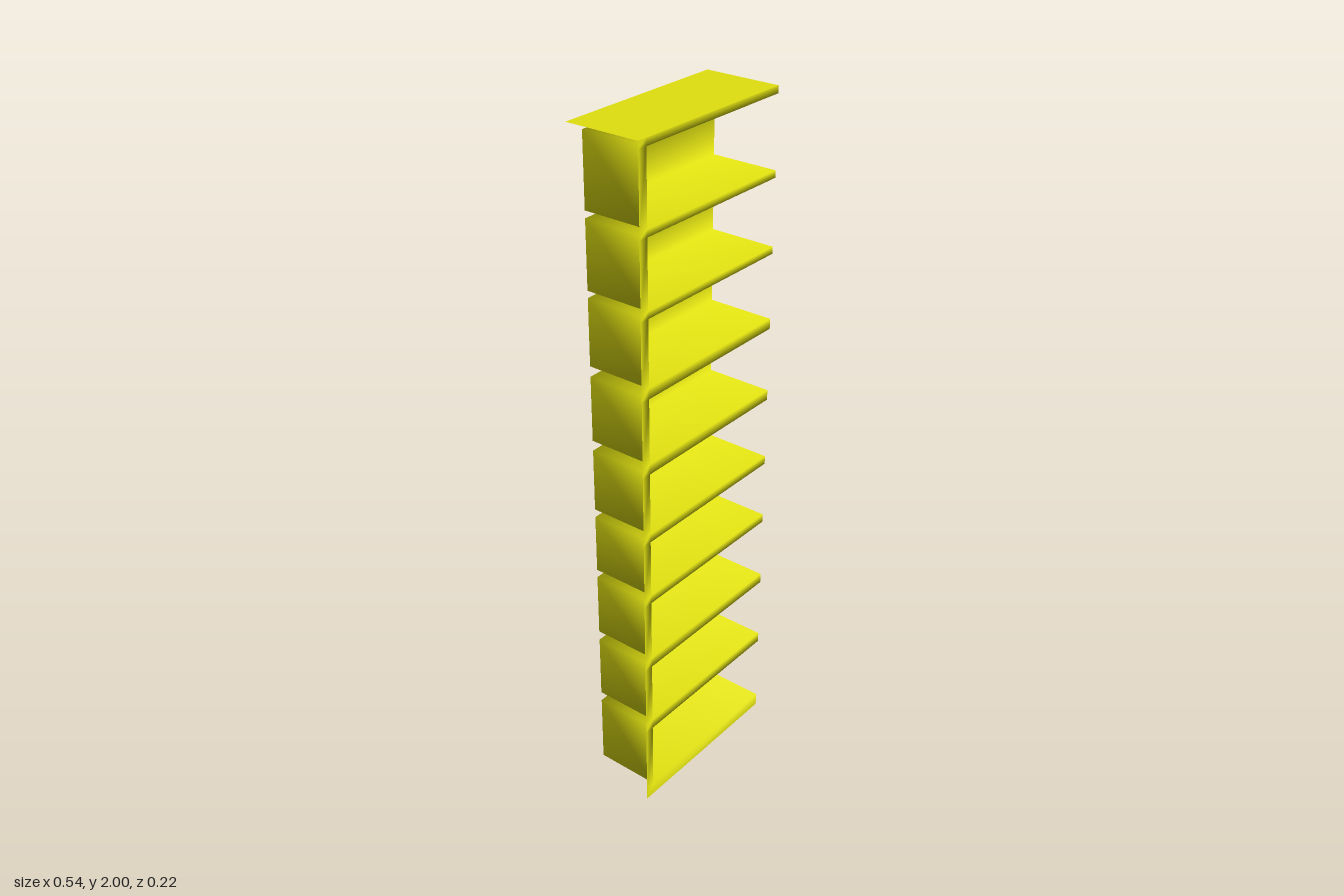
import * as THREE from 'three';

// Floor and ceiling heights of the nine open bays, bottom to top
const BAYS = [
  [0.04, 0.255], [0.285, 0.48], [0.51, 0.70], [0.725, 0.90], [0.925, 1.11],
  [1.14, 1.33], [1.36, 1.55], [1.57, 1.76], [1.78, 1.98],
];
const HEIGHTS = [0, ...BAYS.flat(), 2];

// Plan corners: outer front left, inner front left, front right,
// inner back right, outer back right, inner back left
const PLAN = [
  [-0.272, 0.107], [-0.243, 0.107], [0.271, 0.111],
  [0.271, -0.087], [0.271, -0.112], [-0.243, -0.087],
];
const [E, A, D, C, F, B] = [0, 1, 2, 3, 4, 5];

function shellGeometry() {
  const positions = [];
  const index = [];
  for (const y of HEIGHTS) for (const [x, z] of PLAN) positions.push(x, y, z);

  const at = (level, corner) => level * PLAN.length + corner;
  const quad = (a, b, c, d) => index.push(a, b, c, a, c, d);
  const wall = (k, p, q) => quad(at(k, p), at(k, q), at(k + 1, q), at(k + 1, p));

  for (let k = 0; k < HEIGHTS.length - 1; k++) {
    // upright edges of the side and back panels
    wall(k, E, A);
    wall(k, C, F);
    if (k % 2 === 0) {
      // shelf edge, front and open end
      wall(k, A, D);
      wall(k, D, C);
    } else {
      // bay lining: side, back, shelf top and underside of the shelf above
      wall(k, A, B);
      wall(k, B, C);
      quad(at(k, A), at(k, D), at(k, C), at(k, B));
      quad(at(k + 1, A), at(k + 1, B), at(k + 1, C), at(k + 1, D));
    }
  }
  return buildGeometry(positions, index);
}

function topGeometry() {
  const corners = [PLAN[E], PLAN[D], PLAN[F], [PLAN[E][0], PLAN[F][1]]];
  return buildGeometry(corners.flatMap(([x, z]) => [x, 2, z]), [0, 1, 2, 0, 2, 3]);
}

// Shared vertices give the smooth shading across the bays
function buildGeometry(positions, index) {
  const g = new THREE.BufferGeometry();
  g.setAttribute('position', new THREE.Float32BufferAttribute(positions, 3));
  g.setIndex(index);
  g.computeVertexNormals();
  return g;
}

export function createModel() {
  const group = new THREE.Group();
  group.name = 'cornerShelf';
  const material = new THREE.MeshStandardMaterial({ color: 0xe0e010, side: THREE.DoubleSide });
  const parts = { shelfBays: shellGeometry(), topPanel: topGeometry() };
  for (const [name, geometry] of Object.entries(parts)) {
    const mesh = new THREE.Mesh(geometry, material);
    mesh.name = name;
    group.add(mesh);
  }
  return group;
}
